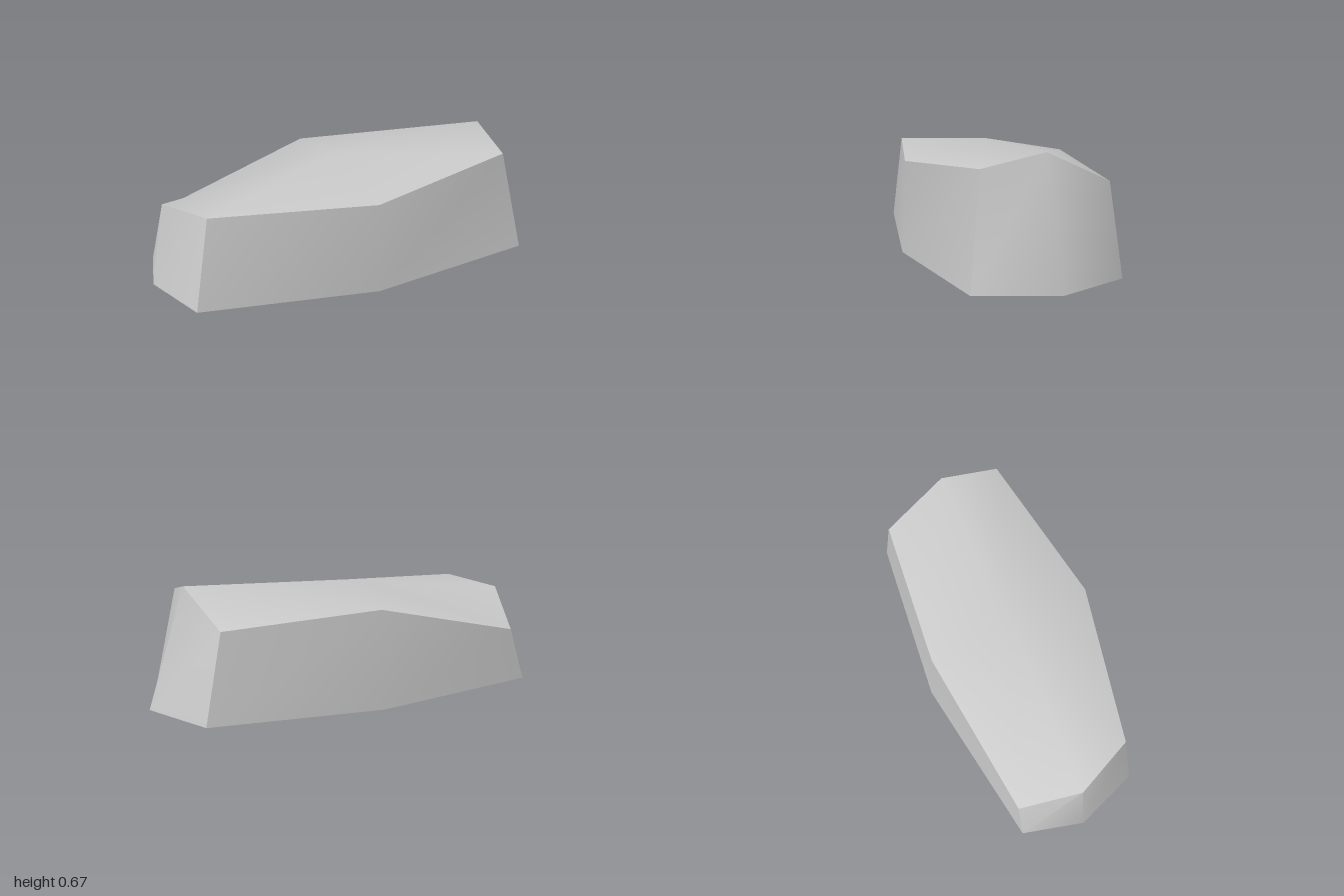
import * as THREE from 'three';
import { toCreasedNormals } from 'three/addons/utils/BufferGeometryUtils.js';

// Matching eight-point rings: left end, back, right end, then front
const base = [
  [-1, 0.12, -0.02], [-0.92, 0.1, -0.32], [-0.04, 0.08, -0.455], [0.82, 0.08, -0.37],
  [1, 0.08, -0.01], [0.88, 0.08, 0.37], [0, 0.08, 0.455], [-0.88, 0.11, 0.3],
];
const rim = [
  [-0.92, 0.54, -0.02], [-0.84, 0.37, -0.31], [-0.04, 0.565, -0.415], [0.73, 0.515, -0.34],
  [0.81, 0.67, 0], [0.78, 0.605, 0.295], [0, 0.545, 0.435], [-0.79, 0.57, 0.265],
];
const underside = [-0.04, 0, -0.02];
const crown = [-0.04, 0.64, 0];

function rockGeometry() {
  const n = base.length;
  const points = [...base, ...rim, underside, crown];
  const low = 2 * n, high = low + 1;
  const faces = [];
  for (let i = 0; i < n; i++) {
    const j = (i + 1) % n;
    // Underside, then two triangles of the wall
    faces.push(low, i, j);
    faces.push(j, i, n + i, j, n + i, n + j);
    // Top, except at the sloping back corner
    if (i !== 2 && i !== 3) faces.push(high, n + j, n + i);
  }
  // Back corner slope below the ridge
  faces.push(high, n + 4, n + 2, n + 4, n + 3, n + 2);

  const geometry = new THREE.BufferGeometry();
  geometry.setAttribute('position', new THREE.Float32BufferAttribute(points.flat(), 3));
  geometry.setIndex(faces);
  return toCreasedNormals(geometry, 0.8);
}

export function createModel() {
  const group = new THREE.Group();
  group.name = 'rock';
  const stone = new THREE.Mesh(rockGeometry(), new THREE.MeshStandardMaterial({ color: 0xcccccc }));
  stone.name = 'stone';
  group.add(stone);
  return group;
}
